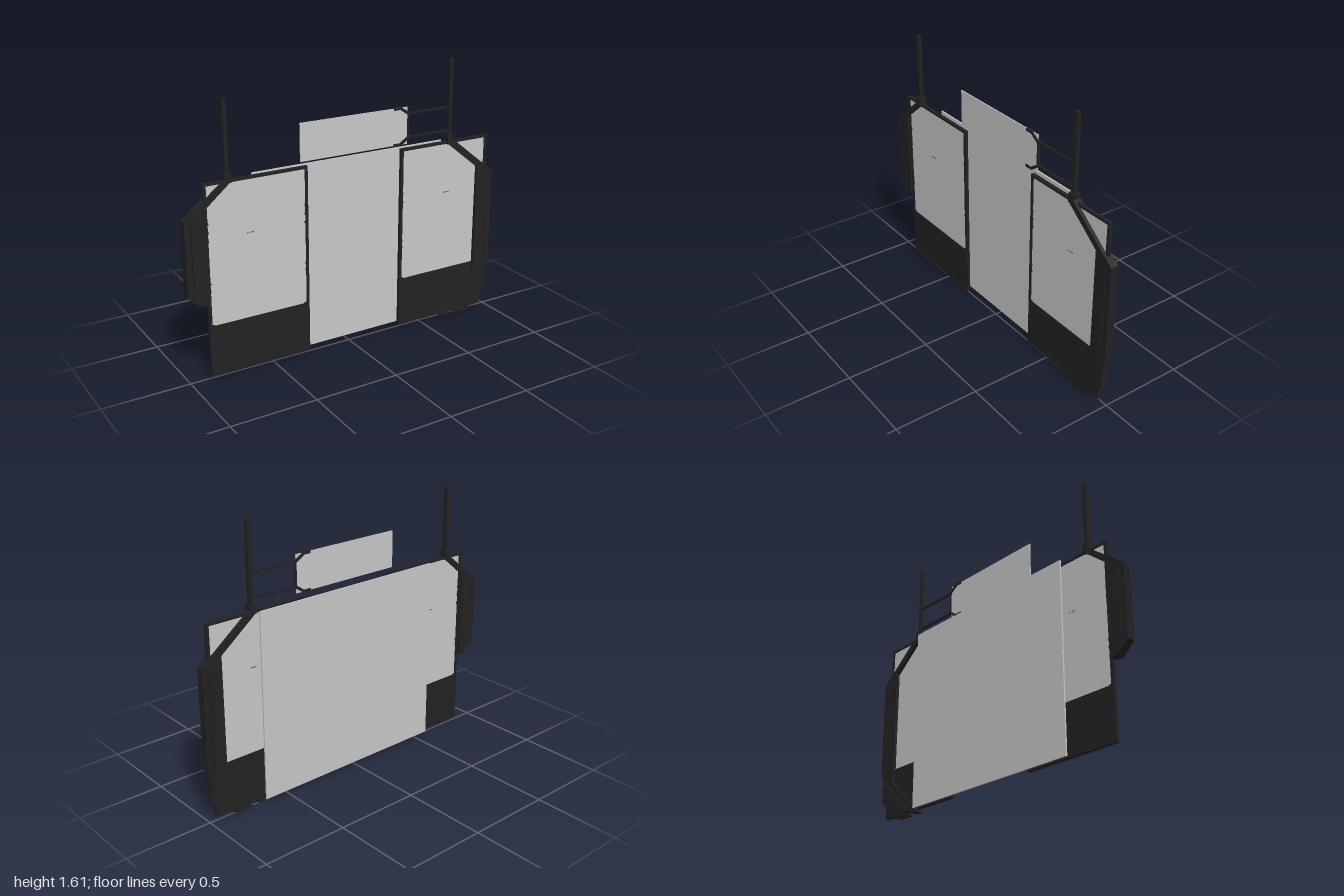
import * as THREE from 'three';

const ZC = 0.01; // common mid-plane of doors and brackets

export function createModel() {
  const root = new THREE.Group();
  const dark = new THREE.MeshStandardMaterial({ color: 0x222222 });
  dark.name = 'black metal';
  const pale = new THREE.MeshStandardMaterial({ color: 0xc8c8c8 });
  pale.name = 'grey glass';

  const add = (parent, name, geo, mat) => {
    const m = new THREE.Mesh(geo, mat);
    m.name = name;
    parent.add(m);
    return m;
  };
  // box given by its extents in x and y, its middle z and depth
  const slab = (parent, name, x0, x1, y0, y1, depth, mat = dark, z = ZC) => {
    const m = add(parent, name, new THREE.BoxGeometry(x1 - x0, y1 - y0, depth), mat);
    m.position.set((x0 + x1) / 2, (y0 + y1) / 2, z);
    return m;
  };
  // flat plate cut from an outline, with optional holes
  const plate = (parent, name, pts, depth, holes = [], mat = dark, z = ZC) => {
    const v = (list) => list.map(([x, y]) => new THREE.Vector2(x, y));
    const s = new THREE.Shape(v(pts));
    holes.forEach((h) => s.holes.push(new THREE.Path(v(h))));
    const m = add(parent, name, new THREE.ExtrudeGeometry(s, { depth, bevelEnabled: false }), mat);
    m.position.z = z - depth / 2;
    return m;
  };
  const rect = (x0, x1, y0, y1) => [[x0, y0], [x1, y0], [x1, y1], [x0, y1]];
  // straight bar between two points
  const bar = (parent, name, a, b, w, depth) => {
    const dx = b[0] - a[0], dy = b[1] - a[1];
    const m = add(parent, name, new THREE.BoxGeometry(Math.hypot(dx, dy), w, depth), dark);
    m.position.set((a[0] + b[0]) / 2, (a[1] + b[1]) / 2, ZC);
    m.rotation.z = Math.atan2(dy, dx);
  };

  // Sliding doors: frame with solid kick panel, glass and small bolts
  const door = (name, x0, x1, markX) => {
    const g = new THREE.Group();
    g.name = name;
    root.add(g);
    plate(g, 'doorFrame', rect(x0, x1, 0.02, 1.12), 0.02,
      [rect(x0 + 0.016, x1 - 0.016, 0.315, 1.105)]);
    slab(g, 'doorGlass', x0 + 0.01, x1 - 0.01, 0.31, 1.11, 0.008, pale);
    for (const y of [0.52, 0.56, 0.8, 0.85, 0.9])
      for (const x of [x0 + 0.017, x1 - 0.017])
        slab(g, 'frameBolt', x - 0.004, x + 0.004, y - 0.006, y + 0.006, 0.016);
    for (let i = -2; i <= 2; i++)
      slab(g, 'glassMark', markX + i * 0.009 - 0.002, markX + i * 0.009 + 0.002, 0.804, 0.81, 0.009);
    for (const x of [x0 + 0.022, x1 - 0.022])
      slab(g, 'cornerClip', x - 0.007, x + 0.007, 0.314, 0.322, 0.016);
  };
  door('rightDoor', -0.88, -0.27, -0.62);
  door('leftDoor', 0.34, 0.955, 0.67);

  // Large fixed pane behind the doors
  slab(root, 'backPane', -0.58, 0.65, 0.02, 1.12, 0.009, pale, -0.0295);

  // Upright posts and their sockets
  const post = (name, x, top) => {
    slab(root, name, x - 0.011, x + 0.011, 1.1, top, 0.025);
    slab(root, name + 'Socket', x - 0.02, x + 0.02, 1.105, 1.16, 0.046);
  };
  post('rightPost', -0.745, 1.545);
  post('leftPost', 0.677, 1.605);

  // Right side bracket: sloped arm and slotted wing
  plate(root, 'rightBracket', [
    [-1, 0.935], [-0.76, 1.125], [-0.725, 1.115], [-0.875, 0.99],
    [-0.88, 0.45], [-0.925, 0.45], [-1, 0.515],
  ], 0.047, [rect(-0.965, -0.96, 0.495, 0.94)]);

  // Left side bracket: long slotted column with a sloped arm at each end
  plate(root, 'leftBracket', [
    [1, 0.89], [0.69, 1.135], [0.655, 1.115], [0.882, 0.935], [0.882, 0.225],
    [0.645, 0.015], [0.645, 0.002], [0.685, 0.002], [0.69, 0.02], [1, 0.29],
  ], 0.047, [rect(0.959, 0.963, 0.275, 0.9)]);

  // Lower foot: two side plates joined by a core
  const foot = [
    [0.728, 0], [0.84, 0], [0.955, 0.1], [0.98, 0.125], [0.98, 0.26], [0.955, 0.235],
    [0.735, 0.038], [0.75, 0.02],
  ];
  for (const z of [ZC - 0.0175, ZC + 0.0175]) plate(root, 'footPlate', foot, 0.011, [], dark, z);
  plate(root, 'footCore', [[0.76, 0.02], [0.85, 0.02], [0.97, 0.13], [0.97, 0.24]], 0.026);
  slab(root, 'footStop', 0.964, 0.984, 0.118, 0.29, 0.04);

  // Overhead sign pane with its clamp arms
  slab(root, 'signPane', -0.31, 0.38, 1.145, 1.36, 0.006, pale);
  const clamp = new THREE.Group();
  clamp.name = 'signClamp';
  root.add(clamp);
  bar(clamp, 'clampUpright', [0.385, 1.18], [0.385, 1.325], 0.011, 0.014);
  for (const s of [1, -1]) {
    const y = (d) => 1.2525 + s * d;
    bar(clamp, 'clampRod', [0.385, y(0.069)], [0.69, y(0.069)], 0.011, 0.012);
    bar(clamp, 'clampSlope', [0.388, y(0.068)], [0.332, y(0.105)], 0.016, 0.018);
    bar(clamp, 'clampHook', [0.338, y(0.104)], [0.288, y(0.104)], 0.014, 0.018);
  }
  return root;
}
